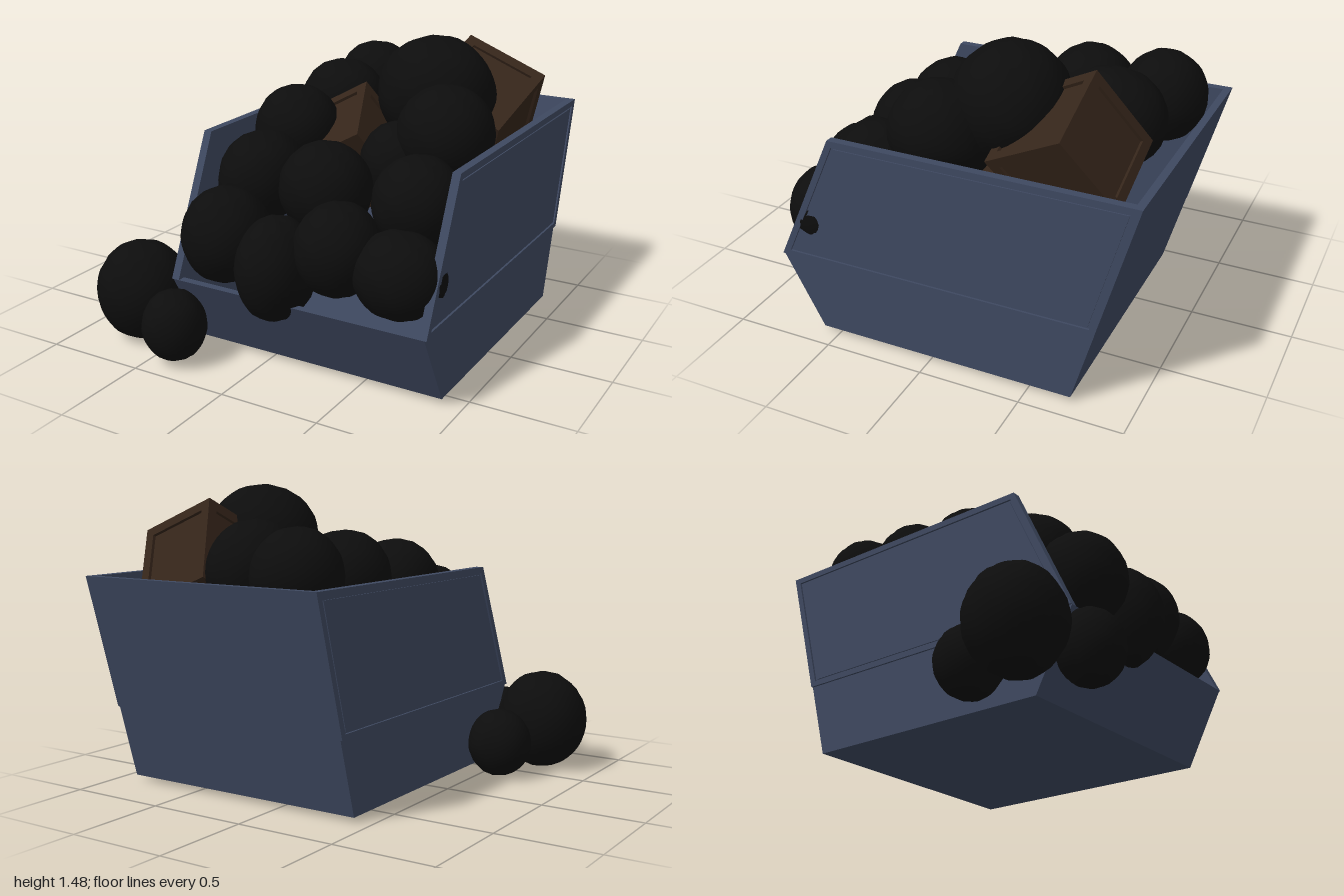
import * as THREE from 'three';
import { mergeVertices } from 'three/addons/utils/BufferGeometryUtils.js';

const steel = new THREE.MeshStandardMaterial({ color: 0x3e4860 });
const plastic = new THREE.MeshStandardMaterial({ color: 0x0d0d0d });
const wood = new THREE.MeshStandardMaterial({ color: 0x35251a });

function add(parent, name, geometry, material) {
  const mesh = new THREE.Mesh(geometry, material);
  mesh.name = name;
  parent.add(mesh);
  return mesh;
}

// Extrude a (z, y) outline along x, from x0 to x1
function extrudeX(points, x0, x1, hole) {
  const toVectors = (list) => list.map(([z, y]) => new THREE.Vector2(z, y));
  const shape = new THREE.Shape(toVectors(points));
  if (hole) shape.holes.push(new THREE.Path(toVectors(hole)));
  const geometry = new THREE.ExtrudeGeometry(shape, { depth: x1 - x0, bevelEnabled: false });
  return geometry.rotateY(-Math.PI / 2).translate(x1, 0, 0);
}

// Lumpy, softly wrinkled bag
function bagGeometry(rx, ry, rz, seed) {
  let geometry = new THREE.SphereGeometry(1, 32, 22);
  geometry.deleteAttribute('uv');
  geometry.deleteAttribute('normal');
  geometry = mergeVertices(geometry, 1e-4);
  const pos = geometry.attributes.position;
  const v = new THREE.Vector3();
  for (let i = 0; i < pos.count; i++) {
    v.fromBufferAttribute(pos, i);
    const lump = Math.sin(4 * v.x + seed) * Math.sin(4 * v.y + 2 * seed) * Math.cos(4 * v.z - seed);
    const wrinkle = Math.sin(11 * v.x + 5 * v.y + seed) * Math.cos(12 * v.z - 4 * v.y + seed);
    v.multiplyScalar(1 + 0.015 * lump + 0.014 * wrinkle);
    pos.setXYZ(i, v.x * rx, v.y * ry, v.z * rz);
  }
  geometry.computeVertexNormals();
  return geometry;
}

// Framed crate, placed by its top corner and two edge directions
function crate(corner, edgeA, edgeB, size) {
  const group = new THREE.Group();
  group.name = 'crate';
  const bar = 0.05;
  add(group, 'cratePanels', new THREE.BoxGeometry(size - 0.03, size - 0.03, size - 0.03), wood);
  const o = (size - bar) / 2;
  for (let axis = 0; axis < 3; axis++) {
    for (const s of [-1, 1]) for (const t of [-1, 1]) {
      const dims = [bar, bar, bar];
      dims[axis] = size;
      const at = [0, 0, 0];
      at[(axis + 1) % 3] = s * o;
      at[(axis + 2) % 3] = t * o;
      add(group, 'crateEdge', new THREE.BoxGeometry(...dims), wood).position.set(...at);
    }
  }
  const a = new THREE.Vector3(...edgeA).normalize();
  const b = new THREE.Vector3(...edgeB);
  b.addScaledVector(a, -a.dot(b)).normalize();
  const c = new THREE.Vector3().crossVectors(a, b);
  const sign = c.y > 0 ? -1 : 1; // third edge always runs down from the corner
  group.quaternion.setFromRotationMatrix(new THREE.Matrix4().makeBasis(a, b, c));
  group.position.set(...corner).addScaledVector(a, size / 2).addScaledVector(b, size / 2)
    .addScaledVector(c, sign * size / 2);
  return group;
}

function createContainer() {
  const group = new THREE.Group();
  group.name = 'container';

  // Sloping back, floor and low front in one bent sheet
  add(group, 'backFloorFront', extrudeX([
    [-1, 1.06], [-0.71, 0.03], [0.58, 0.03], [0.78, 0.4],
    [0.74, 0.4], [0.56, 0.06], [-0.685, 0.06], [-0.963, 1.06],
  ], -0.39, 0.87), steel);

  // Side walls with a raised frame around the upper panel
  const side = [[-0.71, 0.03], [0.58, 0.03], [0.78, 0.4], [0.48, 1.06], [-1, 1.06]];
  const upper = [[-0.815, 0.4], [0.78, 0.4], [0.48, 1.06], [-1, 1.06]];
  const recess = [[-0.79, 0.425], [0.735, 0.425], [0.46, 1.03], [-0.96, 1.03]];
  const panel = [[-0.782, 0.435], [0.72, 0.435], [0.454, 1.02], [-0.945, 1.02]];
  for (const s of [-1, 1]) {
    const slab = (outline, from, to, hole) => {
      const xs = [0.24 + s * from, 0.24 + s * to].sort((p, q) => p - q);
      return extrudeX(outline, xs[0], xs[1], hole);
    };
    add(group, 'sideWall', slab(side, 0.63, 0.66), steel);
    add(group, 'sideFrame', slab(upper, 0.66, 0.67, recess), steel);
    add(group, 'sidePanel', slab(panel, 0.66, 0.666), steel);
  }
  return group;
}

export function createModel() {
  const model = new THREE.Group();
  model.name = 'filledSkip';
  model.add(createContainer());

  // Bags: centre x, y, z, then radii x, y, z
  const bags = [
    [-0.14, 1.09, -0.74, 0.215, 0.22, 0.21],
    [0.2, 1.09, -0.61, 0.215, 0.24, 0.255],
    [-0.14, 1.06, -0.37, 0.225, 0.22, 0.22],
    [-0.18, 1.01, 0.03, 0.21, 0.21, 0.215],
    [-0.16, 0.85, 0.38, 0.205, 0.22, 0.24],
    [-0.18, 0.64, 0.67, 0.21, 0.23, 0.22],
    [0.46, 1.21, -0.22, 0.29, 0.275, 0.275],
    [0.64, 1.09, 0.05, 0.23, 0.23, 0.24],
    [0.66, 0.85, 0.37, 0.21, 0.22, 0.22],
    [0.21, 0.86, 0.42, 0.22, 0.22, 0.22],
    [0.39, 0.66, 0.62, 0.2, 0.22, 0.21],
    [0.7, 0.6, 0.62, 0.215, 0.2, 0.2],
    [0.11, 0.54, 0.7, 0.18, 0.25, 0.21],
    [0.43, 0.93, 0.1, 0.19, 0.2, 0.2],
    [-0.69, 0.255, 0.68, 0.23, 0.25, 0.225],
    [-0.38, 0.195, 0.84, 0.155, 0.175, 0.155],
    [-0.6, 0.18, 0.36, 0.16, 0.17, 0.155],
  ];
  bags.forEach(([x, y, z, rx, ry, rz], i) => {
    add(model, 'bag', bagGeometry(rx, ry, rz, i * 1.7 + 0.4), plastic).position.set(x, y, z);
  });

  // Crates tipped in among the bags
  model.add(crate([0.87, 1.26, -0.62], [-0.42, 0.17, 0], [-0.08, -0.2, 0.37], 0.44));
  model.add(crate([0.1, 1.23, -0.17], [0.15, -0.17, 0.37], [-0.125, -0.071, 0.018], 0.42));
  return model;
}
